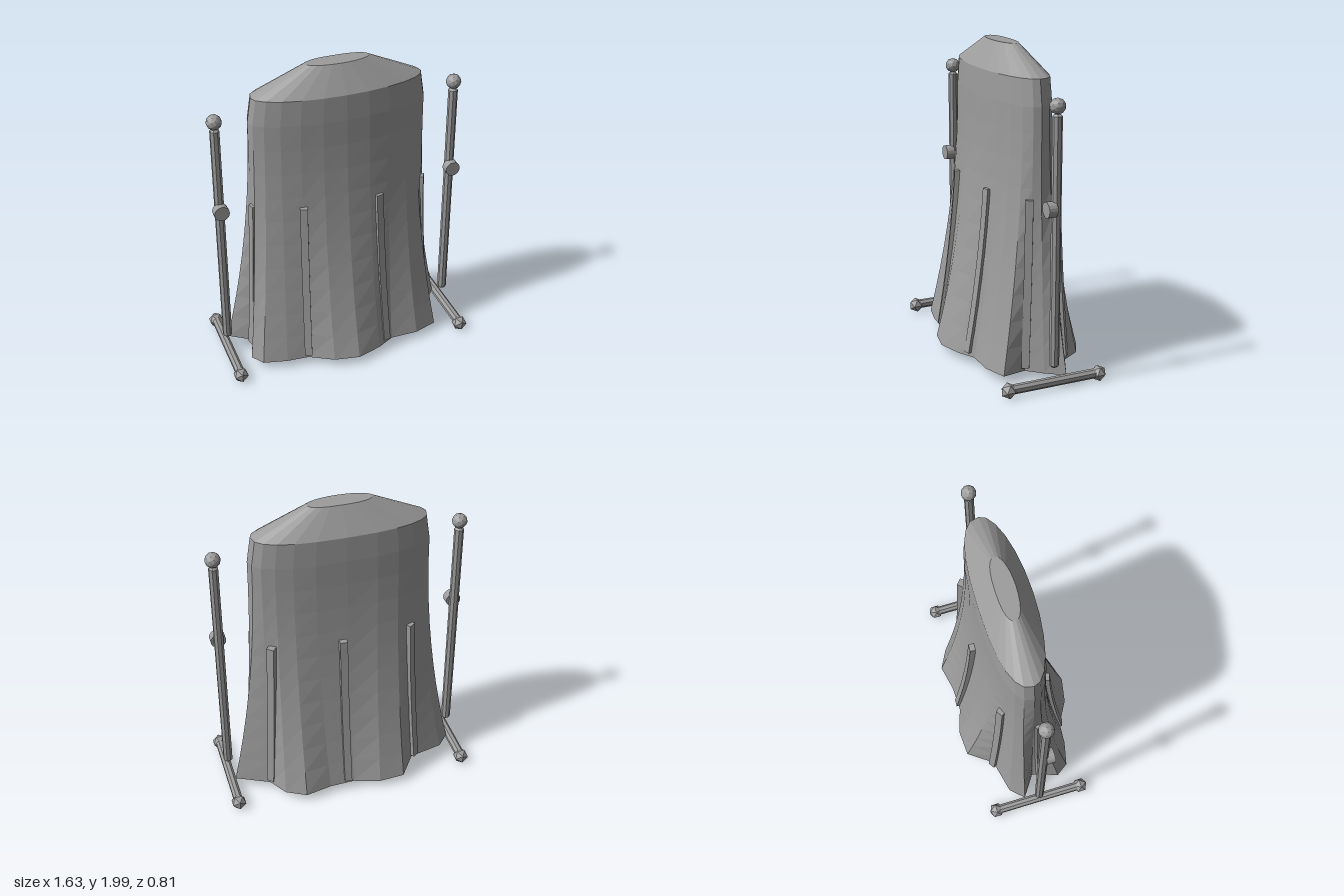
import * as THREE from 'three';

const grey = new THREE.MeshStandardMaterial({ color: 0x9c9c9c, flatShading: true });
grey.name = 'grey';

const CZ = -0.015;
const SEGMENTS = 24;

// Hem outline [x, z], every 15 degrees from the front towards +x
const HEM = [
  [0, 0.4], [0.16, 0.35], [0.27, 0.29], [0.45, 0.29], [0.6, 0.24], [0.575, 0.09],
  [0.66, 0], [0.74, -0.11], [0.53, -0.21], [0.455, -0.33], [0.33, -0.395], [0.16, -0.36],
  [0, -0.355], [-0.165, -0.405], [-0.33, -0.395], [-0.44, -0.24], [-0.66, -0.19], [-0.74, -0.105],
  [-0.6, -0.01], [-0.655, 0.16], [-0.6, 0.24], [-0.45, 0.275], [-0.31, 0.285], [-0.16, 0.37],
];

// How far the cloth has flared out at a height
const flare = (y) => Math.pow(Math.max(0, (1.68 - y) / 1.615), 1.95);

function oval(a, b, y) {
  return Array.from({ length: SEGMENTS }, (_, i) => {
    const t = (i / SEGMENTS) * Math.PI * 2;
    const s = Math.sin(t), c = Math.cos(t);
    const p = c < -0.001 ? 0.8 : 1; // fuller at the back
    return [
      a * Math.sign(s) * Math.pow(Math.abs(s), p), y,
      CZ + b * Math.sign(c) * Math.pow(Math.abs(c), p),
    ];
  });
}

// Skin closed rings from bottom to top, with optional flat ends
function loft(rings, capBottom = true, capTop = true) {
  const n = rings[0].length;
  const pos = rings.flat(2);
  const idx = [];
  for (let j = 0; j < rings.length - 1; j++) {
    for (let i = 0; i < n; i++) {
      const k = (i + 1) % n;
      const a = j * n + i, b = j * n + k;
      idx.push(a, b, b + n, a, b + n, a + n);
    }
  }
  const cap = (ring, start, up) => {
    const c = pos.length / 3;
    for (let k = 0; k < 3; k++) pos.push(ring.reduce((s, p) => s + p[k], 0) / n);
    for (let i = 0; i < n; i++) {
      const a = start + i, b = start + ((i + 1) % n);
      idx.push(c, up ? a : b, up ? b : a);
    }
  };
  if (capBottom) cap(rings[0], 0, false);
  if (capTop) cap(rings[rings.length - 1], (rings.length - 1) * n, true);
  const g = new THREE.BufferGeometry();
  g.setAttribute('position', new THREE.Float32BufferAttribute(pos, 3));
  g.setIndex(idx);
  const flat = g.toNonIndexed();
  flat.computeVertexNormals();
  return flat;
}

function add(parent, name, geometry, x = 0, y = 0, z = 0) {
  const mesh = new THREE.Mesh(geometry, grey);
  mesh.name = name;
  mesh.position.set(x, y, z);
  parent.add(mesh);
  return mesh;
}

// Octagonal rod with chamfered ends, centred and upright
function rod(length, r) {
  const h = length / 2, c = 0.012;
  const points = [[0, -h], [r - c, -h], [r, -h + c], [r, h - c], [r - c, h], [0, h]]
    .map(([x, y]) => new THREE.Vector2(x, y));
  return new THREE.LatheGeometry(points, 8, Math.PI / 8);
}

// Square strip that follows the flare of the cloth
function rib(top, bottom) {
  const yLow = 0.09, yHigh = 1.13, w = 0.024, d = 0.026;
  const normal = new THREE.Vector2(bottom[0] / 0.42, (bottom[1] - CZ) / 0.137).normalize();
  const rings = [];
  for (let j = 0; j <= 8; j++) {
    const y = yLow + ((yHigh - yLow) * j) / 8;
    const f = (flare(y) - flare(yHigh)) / (flare(yLow) - flare(yHigh));
    const x = top[0] + (bottom[0] - top[0]) * f;
    const z = top[1] + (bottom[1] - top[1]) * f;
    rings.push([[1, -1], [1, 1], [-1, 1], [-1, -1]].map(([o, s]) => [
      x + normal.x * d * o + normal.y * w * s, y,
      z + normal.y * d * o - normal.x * w * s,
    ]));
  }
  return loft(rings);
}

export function createModel() {
  const model = new THREE.Group();
  model.name = 'drapedStand';

  // Cloth body, fluted at the hem and smooth at the shoulder
  const rings = [];
  for (let j = 0; j <= 10; j++) {
    const y = 0.065 + (1.615 * j) / 10;
    const f = flare(y);
    rings.push(oval(0.565, 0.17, y).map(([x, , z], i) => [
      x + (HEM[i][0] - x) * f, y, z + (HEM[i][1] - z) * f,
    ]));
  }
  rings.push(oval(0.54, 0.163, 1.84));
  add(model, 'drape', loft(rings, true, false));

  // Sloping lid with a small flat top
  add(model, 'lid', loft([oval(0.54, 0.163, 1.84), oval(0.2, 0.06, 2)], false, true));

  // Ribs in the valleys between folds: top and bottom [x, z]
  const ribs = [
    [[-0.28, 0.155], [-0.305, 0.275]],
    [[0.205, 0.16], [0.22, 0.3]],
    [[0.535, 0.045], [0.575, 0.085]],
    [[0.47, -0.16], [0.515, -0.205]],
    [[0.035, -0.215], [0.04, -0.345]],
    [[-0.41, -0.165], [-0.45, -0.24]],
    [[-0.555, 0.02], [-0.605, 0.04]],
  ];
  for (const [top, bottom] of ribs) add(model, 'rib', rib(top, bottom));

  // Side posts with ball finials, knobs and separate foot bars
  for (const side of [-1, 1]) {
    const stand = new THREE.Group();
    stand.name = side > 0 ? 'leftStand' : 'rightStand';
    stand.position.x = side * 0.765;
    model.add(stand);
    add(stand, 'post', rod(1.53, 0.03), 0, 0.915, -0.012);
    add(stand, 'finial', new THREE.IcosahedronGeometry(0.048, 1), 0, 1.725, -0.012);
    add(stand, 'knob', new THREE.CylinderGeometry(0.048, 0.048, 0.055, 16), 0, 1.128, 0.026)
      .rotation.x = Math.PI / 2;
    add(stand, 'footBar', rod(0.58, 0.03), 0, 0.055, CZ).rotation.x = Math.PI / 2;
    for (const z of [0.285, -0.315]) {
      add(stand, 'footBall', new THREE.IcosahedronGeometry(0.05, 0), 0, 0.052, z);
    }
  }
  return model;
}
